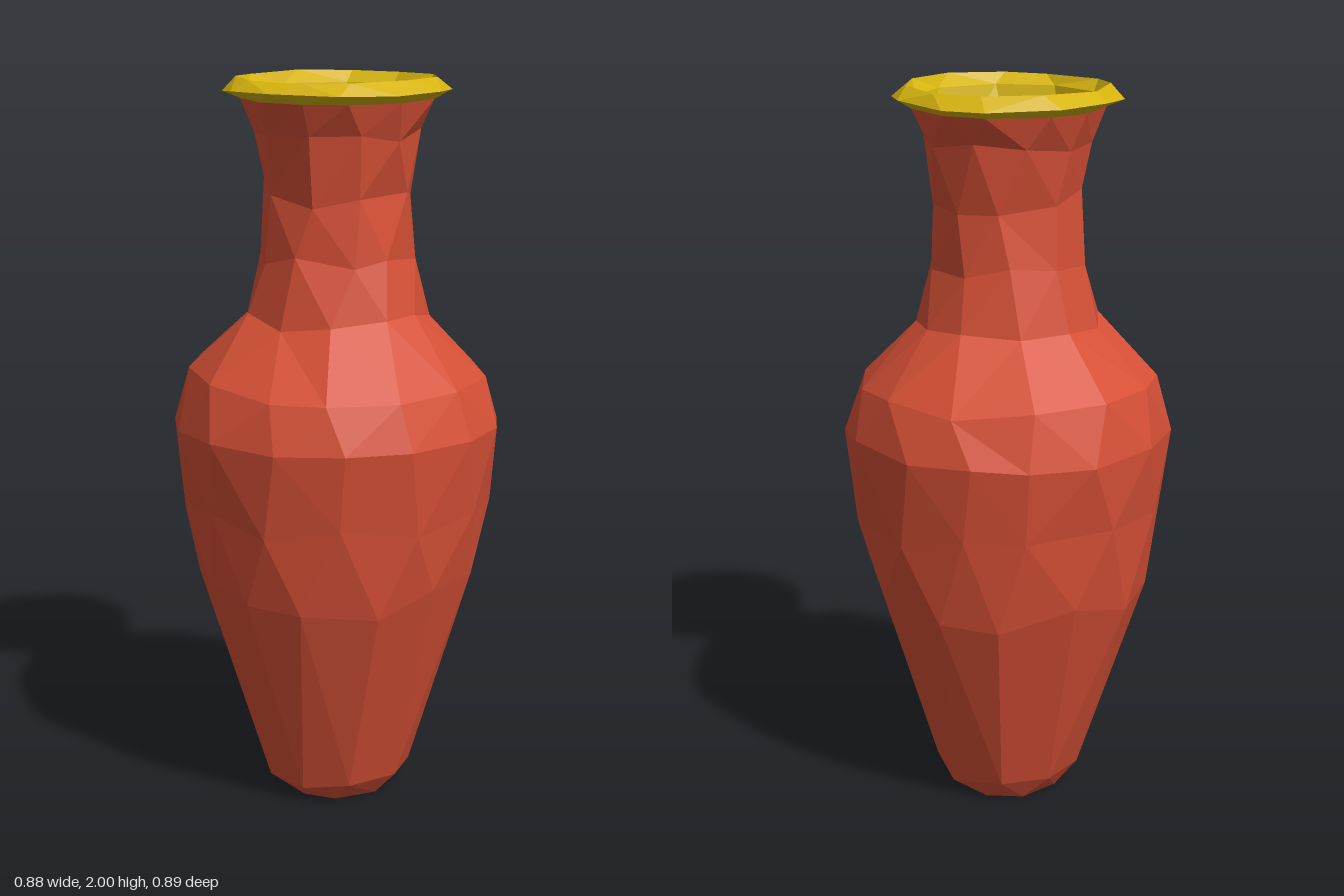
import * as THREE from 'three';

const red = new THREE.MeshStandardMaterial({ color: 0xd65036, flatShading: true });
red.name = 'terracotta red';
const yellow = new THREE.MeshStandardMaterial({ color: 0xd6b40f, flatShading: true });
yellow.name = 'glaze yellow';

// Small seeded generator for the hand-cut unevenness, range -1..1
let seed = 7;
const wobble = () => {
  seed = (seed * 16807) % 2147483647;
  return (seed / 2147483647) * 2 - 1;
};

// One horizontal ring: radius, height, number of corners, turn (in steps), height unevenness
function ring(r, y, n, turn = 0, dy = 0) {
  return Array.from({ length: n }, (_, i) => {
    const angle = ((i + turn + (r ? wobble() * 0.15 : 0)) / n) * Math.PI * 2;
    return { angle, p: [r * Math.sin(angle), y + wobble() * dy, r * Math.cos(angle)] };
  });
}

// Zip neighbouring rings into triangles, whatever their corner counts
function loft(rings) {
  const pos = [];
  const at = (ringPts, i) => ringPts[i % ringPts.length].p;
  const angleAt = (ringPts, i) =>
    ringPts[i % ringPts.length].angle + Math.floor(i / ringPts.length) * Math.PI * 2;
  for (let k = 0; k + 1 < rings.length; k++) {
    const a = rings[k], b = rings[k + 1];
    let i = 0, j = 0;
    while (i < a.length || j < b.length) {
      const stepA = j >= b.length || (i < a.length && angleAt(a, i + 1) <= angleAt(b, j + 1));
      if (stepA) {
        pos.push(...at(a, i), ...at(a, i + 1), ...at(b, j));
        i++;
      } else {
        pos.push(...at(b, j + 1), ...at(b, j), ...at(a, i));
        j++;
      }
    }
  }
  const g = new THREE.BufferGeometry();
  g.setAttribute('position', new THREE.Float32BufferAttribute(pos, 3));
  g.computeVertexNormals();
  return g;
}

function part(name, geometry, material) {
  const mesh = new THREE.Mesh(geometry, material);
  mesh.name = name;
  return mesh;
}

export function createModel() {
  seed = 7;
  const group = new THREE.Group();
  group.name = 'vase';

  // Rings shared between neighbouring parts
  const shoulderTop = ring(0.25, 1.37, 11, 0.5, 0.02);
  const neckTop = ring(0.257, 1.94, 11, 0);
  const mouth = ring(0.24, 1.965, 9, 0.3);

  const body = part('body', loft([
    ring(0, 0, 9),
    ring(0.15, 0, 9, 0),
    ring(0.205, 0.06, 9, 0.3, 0.015),
    ring(0.387, 0.65, 13, 0, 0.04),
    ring(0.422, 0.85, 13, 0.5, 0.03),
    ring(0.447, 1.07, 15, 0.3, 0.015),
    ring(0.405, 1.21, 13, 0.4, 0.015),
    shoulderTop,
  ]), red);
  group.add(body);

  group.add(part('neck', loft([
    shoulderTop,
    ring(0.21, 1.53, 10, 0, 0.02),
    ring(0.198, 1.7, 9, 0.5, 0.03),
    ring(0.222, 1.85, 10, 0.2, 0.02),
    neckTop,
  ]), red));

  // Flared lip rolling over into the mouth
  group.add(part('rim', loft([
    neckTop,
    ring(0.304, 1.962, 12, 0.5, 0.006),
    ring(0.267, 1.995, 11, 0, 0.004),
    mouth,
  ]), yellow));

  // Hollow inside, down to the floor
  group.add(part('lining', loft([
    mouth,
    ring(0.2, 1.84, 9, 0),
    ring(0.167, 1.66, 9, 0.4),
    ring(0.175, 1.5, 9, 0),
    ring(0.215, 1.35, 11, 0.4),
    ring(0.36, 1.19, 13, 0),
    ring(0.395, 1.06, 13, 0.5),
    ring(0.34, 0.65, 13, 0),
    ring(0.165, 0.08, 9, 0.3),
    ring(0, 0.06, 9),
  ]), yellow));

  // Small glaze chip, laid on the body's left side
  const ray = new THREE.Raycaster();
  body.updateMatrixWorld();
  const chip = [[0.62, 0.145], [0.705, 0.165], [0.63, 0.187]].flatMap(([y, z]) => {
    ray.set(new THREE.Vector3(1, y, z), new THREE.Vector3(-1, 0, 0));
    const hit = ray.intersectObject(body)[0];
    return [(hit ? hit.point.x : 0.34) + 0.006, y, z];
  });
  const chipGeometry = new THREE.BufferGeometry();
  chipGeometry.setAttribute('position', new THREE.Float32BufferAttribute(chip, 3));
  chipGeometry.computeVertexNormals();
  group.add(part('glazeChip', chipGeometry, yellow));

  return group;
}
